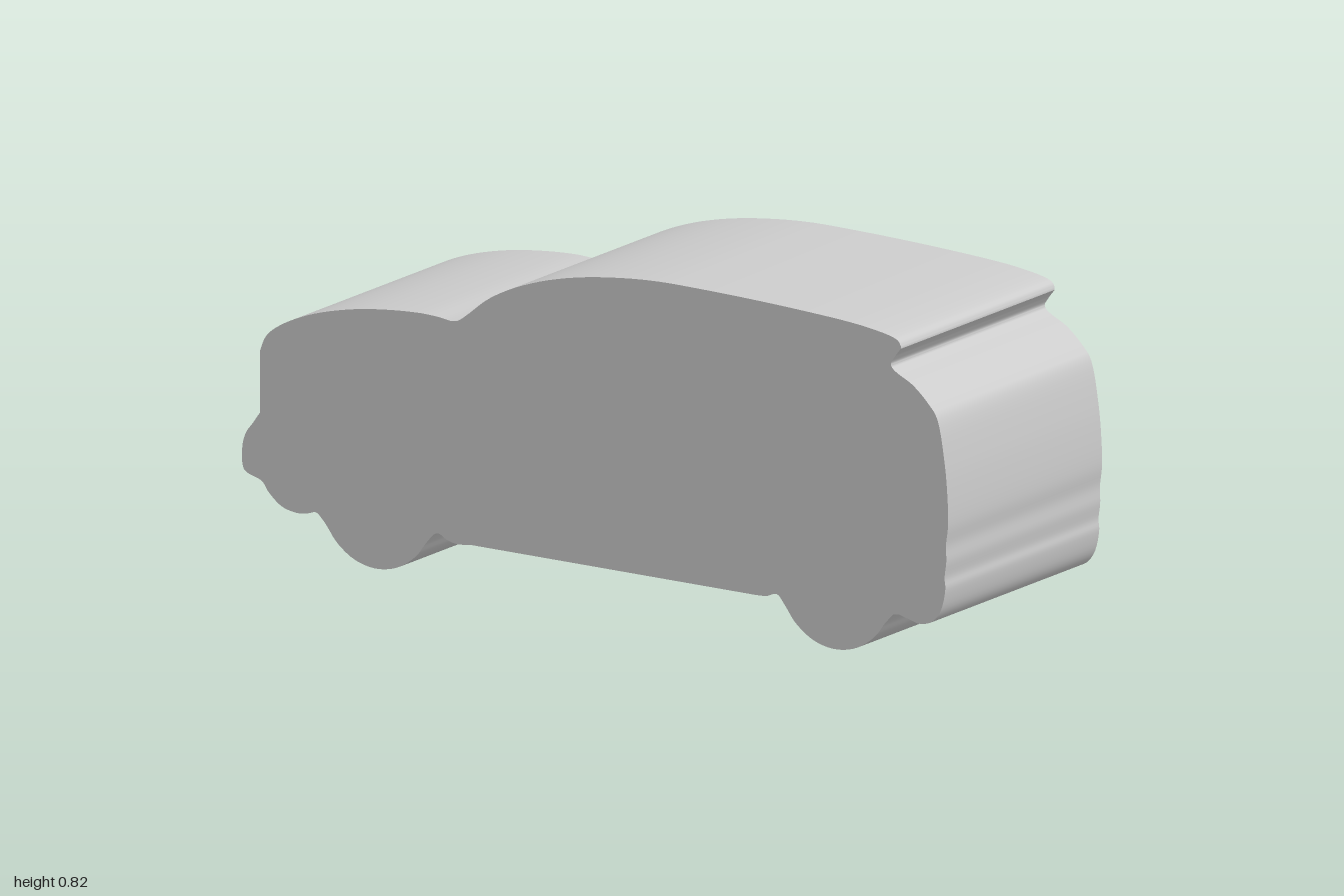
import * as THREE from 'three';
import { toCreasedNormals } from 'three/addons/utils/BufferGeometryUtils.js';

const DEPTH = 0.645;

// Lower edge of a wheel, from its -x side to its +x side
const WHEEL = [[-0.165, 0.109], [-0.142, 0.085], [-0.11, 0.045], [-0.06, 0.012], [0, 0],
  [0.06, 0.012], [0.11, 0.045], [0.142, 0.085], [0.165, 0.109]];
const wheel = (cx) => WHEEL.map(([x, y]) => [cx + x, y]);

// Outline runs counter-clockwise; each run is a smooth curve, with corners between runs
const underside = [[0.45, 0.098], [0.485, 0.1], ...wheel(0.68)];
const tail = [[0.86, 0.112], [0.89, 0.104], [0.92, 0.098], [0.955, 0.108], [0.98, 0.14], [0.992, 0.19],
  [0.99, 0.22], [0.995, 0.26], [0.994, 0.3], [1, 0.35], [0.998, 0.42], [0.99, 0.5], [0.972, 0.595],
  [0.945, 0.635], [0.9, 0.675], [0.855, 0.698], [0.838, 0.715], [0.848, 0.735], [0.866, 0.758]];
const roof = [[0.866, 0.765], [0.852, 0.78], [0.8, 0.792], [0.7, 0.803], [0.5, 0.813], [0.3, 0.818],
  [0.15, 0.817], [0, 0.802], [-0.12, 0.778], [-0.22, 0.745], [-0.3, 0.705], [-0.36, 0.658],
  [-0.388, 0.638], [-0.41, 0.634]];
const bonnet = [[-0.44, 0.638], [-0.5, 0.64], [-0.6, 0.633], [-0.7, 0.618], [-0.8, 0.592],
  [-0.88, 0.558], [-0.93, 0.522], [-0.95, 0.48]];
const bumper = [[-0.95, 0.33], [-0.97, 0.302], [-0.99, 0.275], [-1, 0.24], [-0.999, 0.195], [-0.984, 0.178],
  [-0.945, 0.165], [-0.925, 0.14], [-0.89, 0.112], [-0.85, 0.102], [-0.82, 0.104], [-0.795, 0.112]];
const frontWheel = [...wheel(-0.62), [-0.44, 0.111], [-0.42, 0.1], [-0.39, 0.094], [-0.355, 0.098]];

export function createModel() {
  const group = new THREE.Group();
  group.name = 'carBlock';

  const shape = new THREE.Shape();
  shape.moveTo(-0.355, 0.098);
  for (const run of [underside, tail, roof, bonnet, bumper, frontWheel]) {
    shape.lineTo(...run[0]);
    shape.splineThru(run.slice(1).map(([x, y]) => new THREE.Vector2(x, y)));
  }

  // Solid car silhouette, smooth around the outline with sharp side edges
  const geometry = new THREE.ExtrudeGeometry(shape, { depth: DEPTH, bevelEnabled: false, curveSegments: 4 });
  geometry.translate(0, 0, -DEPTH / 2);
  const body = new THREE.Mesh(
    toCreasedNormals(geometry, Math.PI / 5),
    new THREE.MeshStandardMaterial({ color: 0xcccccc }),
  );
  body.name = 'carBody';
  group.add(body);
  return group;
}
